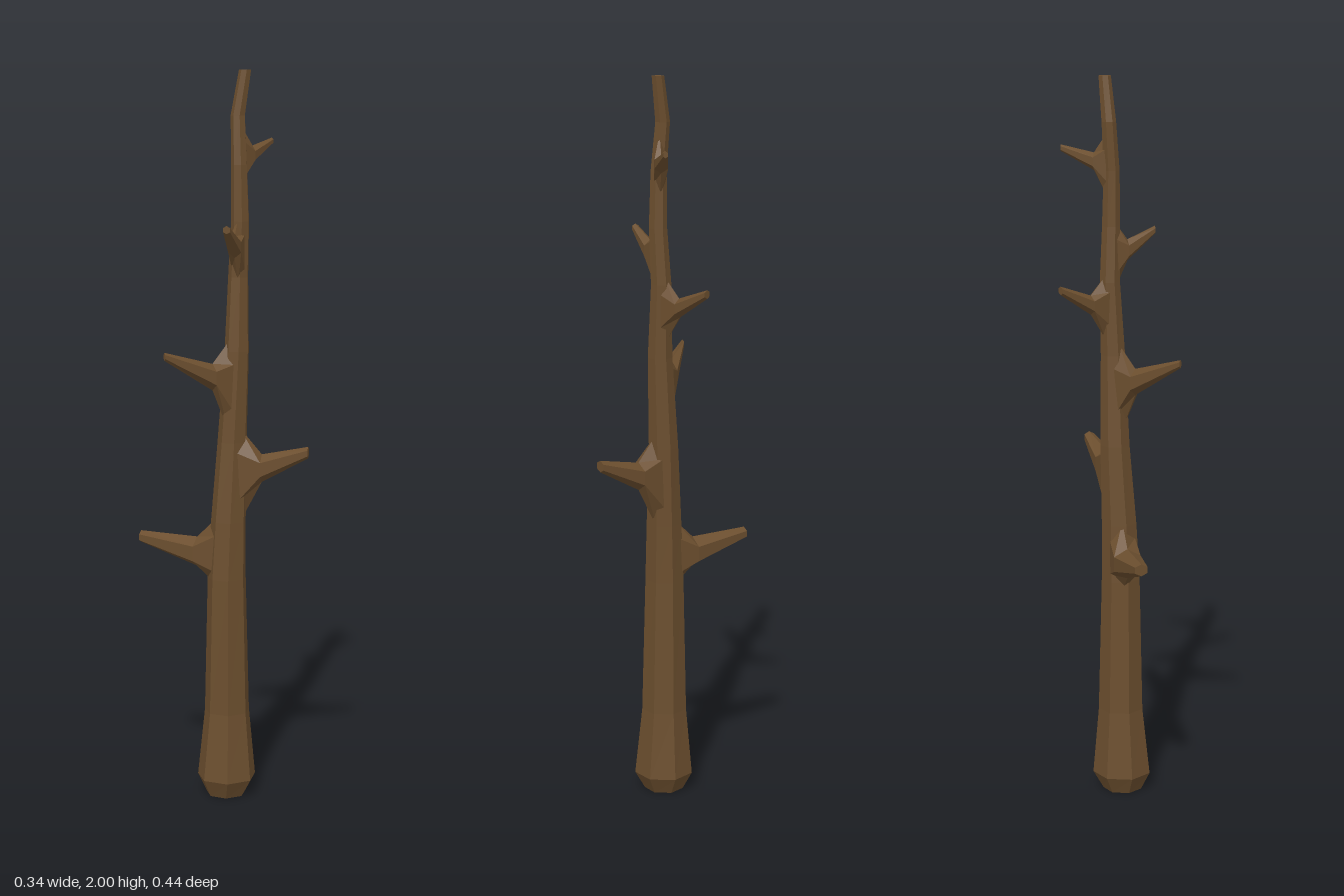
import * as THREE from 'three';

const wood = new THREE.MeshStandardMaterial({ color: 0x6b4e2e, flatShading: true });
wood.name = 'brown wood';

// Skins a list of equal-length rings (counter-clockwise seen from the far end) and caps both ends
function loft(rings) {
  const n = rings[0].length;
  const pos = [];
  const tri = (...pts) => pts.forEach((p) => pos.push(p.x, p.y, p.z));
  for (let k = 0; k < rings.length - 1; k++) {
    const a = rings[k], b = rings[k + 1];
    for (let i = 0; i < n; i++) {
      const j = (i + 1) % n;
      tri(a[i], a[j], b[j]);
      tri(a[i], b[j], b[i]);
    }
  }
  const first = rings[0], last = rings[rings.length - 1];
  for (let i = 1; i < n - 1; i++) {
    tri(first[0], first[i + 1], first[i]);
    tri(last[0], last[i], last[i + 1]);
  }
  const geo = new THREE.BufferGeometry();
  geo.setAttribute('position', new THREE.Float32BufferAttribute(pos, 3));
  geo.computeVertexNormals();
  return geo;
}

// Trunk sections: height, centre x, centre z, radius
const TRUNK = [
  [0.0, -0.002, 0.024, 0.055],
  [0.05, 0.0, 0.025, 0.082],
  [0.24, 0.003, 0.024, 0.063],
  [0.62, 0.003, 0.023, 0.054],
  [0.78, 0.008, 0.025, 0.049],
  [1.0, 0.02, 0.028, 0.041],
  [1.25, 0.027, 0.038, 0.034],
  [1.45, 0.035, 0.036, 0.028],
  [1.6, 0.033, 0.044, 0.025],
  [1.75, 0.031, 0.042, 0.022],
  [1.88, 0.037, 0.032, 0.02],
  [2.0, 0.05, 0.046, 0.017],
];

function trunkAt(y) {
  const k = Math.max(1, TRUNK.findIndex((s) => s[0] >= y));
  const a = TRUNK[k - 1], b = TRUNK[k];
  const t = (y - a[0]) / (b[0] - a[0]);
  return a.map((v, i) => v + (b[i] - v) * t);
}

function makeTrunk() {
  const sides = 7;
  return loft(TRUNK.map(([y, x, z, r], k) =>
    Array.from({ length: sides }, (_, i) => {
      const a = (i / sides) * Math.PI * 2 + 0.25 + k * 0.02;
      return new THREE.Vector3(x + Math.cos(a) * r, y, z - Math.sin(a) * r);
    })));
}

// Thorn-like stub: flared root on the trunk, an elbow, then a tapering spike
function makeBranch({ tip, root, elbow, end, at, widths }) {
  const [, cx, cz, r] = trunkAt((elbow[0] + elbow[1]) / 2);
  const start = new THREE.Vector3(cx, 0, cz);
  const dir = new THREE.Vector3(tip[0] - cx, 0, tip[1] - cz);
  const length = dir.length();
  dir.normalize();
  const side = new THREE.Vector3(0, 1, 0).cross(dir);
  const sides = 6;
  const ring = (dist, [low, high], halfWidth) =>
    Array.from({ length: sides }, (_, i) => {
      const a = (i / sides) * Math.PI * 2 + Math.PI / 2;
      const p = start.clone().addScaledVector(dir, dist)
        .addScaledVector(side, Math.cos(a) * halfWidth);
      p.y = (low + high) / 2 + Math.sin(a) * (high - low) / 2;
      return p;
    });
  return loft([
    ring(r * 0.5, root, r * 0.8),
    ring(length * at, elbow, widths[0]),
    ring(length, end, widths[1]),
  ]);
}

// tip: x, z; root, elbow and end: lowest and highest y; at: elbow position along the branch
const BRANCHES = [
  { tip: [-0.085, -0.215], root: [0.59, 0.79], elbow: [0.645, 0.728], end: [0.7, 0.733], at: 0.35, widths: [0.043, 0.02] },
  { tip: [0.12, 0.212], root: [0.77, 1.04], elbow: [0.89, 0.967], end: [0.96, 0.992], at: 0.4, widths: [0.034, 0.017] },
  { tip: [-0.168, -0.052], root: [1.02, 1.28], elbow: [1.145, 1.218], end: [1.235, 1.257], at: 0.33, widths: [0.03, 0.006] },
  { tip: [0.152, -0.07], root: [1.29, 1.47], elbow: [1.365, 1.418], end: [1.428, 1.451], at: 0.4, widths: [0.022, 0.012] },
  { tip: [-0.08, 0.09], root: [1.43, 1.61], elbow: [1.505, 1.563], end: [1.575, 1.597], at: 0.38, widths: [0.021, 0.011] },
  { tip: [0.168, 0.042], root: [1.68, 1.85], elbow: [1.75, 1.797], end: [1.799, 1.817], at: 0.34, widths: [0.021, 0.007] },
];

export function createModel() {
  const model = new THREE.Group();
  model.name = 'woodenStaff';

  const trunk = new THREE.Mesh(makeTrunk(), wood);
  trunk.name = 'trunk';
  model.add(trunk);

  BRANCHES.forEach((spec, i) => {
    const branch = new THREE.Mesh(makeBranch(spec), wood);
    branch.name = `branch${i + 1}`;
    model.add(branch);
  });
  return model;
}
